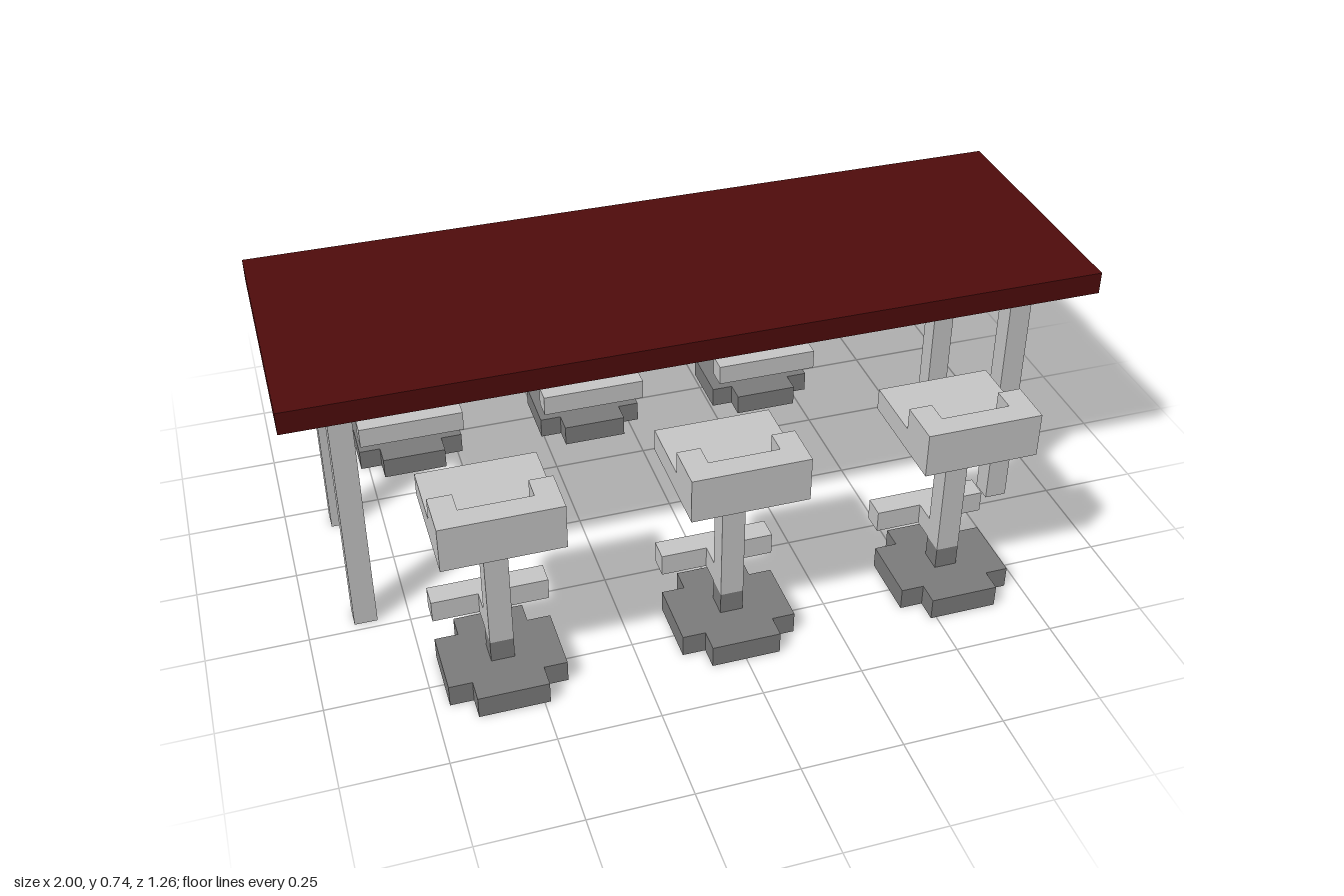
import * as THREE from 'three';

const U = 2 / 35; // one block

const flat = (name, color) => {
  const m = new THREE.MeshStandardMaterial({ color });
  m.name = name;
  return m;
};

export function createModel() {
  const red = flat('dark red', 0x500c0c);
  const light = flat('light grey', 0xc8c8c8);
  const dark = flat('dark grey', 0x7d7d7d);

  const add = (parent, name, geometry, material) => {
    const mesh = new THREE.Mesh(geometry, material);
    mesh.name = name;
    parent.add(mesh);
    return mesh;
  };

  // Box given by its lower and upper corners, in blocks
  const box = (parent, name, material, [x0, y0, z0], [x1, y1, z1]) => {
    const g = new THREE.BoxGeometry((x1 - x0) * U, (y1 - y0) * U, (z1 - z0) * U);
    g.translate((x0 + x1) / 2 * U, (y0 + y1) / 2 * U, (z0 + z1) / 2 * U);
    return add(parent, name, g, material);
  };

  // One-block-thick slab from an x/z outline, in blocks
  const slab = (parent, name, material, outline, top) => {
    const shape = new THREE.Shape(outline.map(([x, z]) => new THREE.Vector2(x * U, z * U)));
    const g = new THREE.ExtrudeGeometry(shape, { depth: U, bevelEnabled: false });
    g.rotateX(Math.PI / 2).translate(0, top * U, 0);
    return add(parent, name, g, material);
  };

  // Stool centred on its post, with its back towards +z
  const makeStool = () => {
    const stool = new THREE.Group();
    stool.name = 'stool';
    slab(stool, 'base', dark, [
      [-1.5, -2.5], [1.5, -2.5], [1.5, -1.5], [2.5, -1.5], [2.5, 1.5], [1.5, 1.5],
      [1.5, 2.5], [-1.5, 2.5], [-1.5, 1.5], [-2.5, 1.5], [-2.5, -1.5], [-1.5, -1.5],
    ], 1);
    box(stool, 'postFoot', dark, [-0.5, 1, -0.5], [0.5, 2, 0.5]);
    box(stool, 'post', light, [-0.5, 2, -0.5], [0.5, 8, 0.5]);
    box(stool, 'footrestStem', light, [-0.5, 2, -1.5], [0.5, 3, -0.5]);
    box(stool, 'footrestBar', light, [-2.5, 2, -2.5], [2.5, 3, -1.5]);
    box(stool, 'seat', light, [-2.5, 8, -2.5], [2.5, 9, 2.5]);
    slab(stool, 'backrest', light, [
      [-2.5, 0.5], [-1.5, 0.5], [-1.5, 1.5], [1.5, 1.5],
      [1.5, 0.5], [2.5, 0.5], [2.5, 2.5], [-2.5, 2.5],
    ], 10);
    return stool;
  };

  const model = new THREE.Group();
  model.name = 'tableWithStools';

  // Table
  const table = new THREE.Group();
  table.name = 'table';
  model.add(table);
  box(table, 'tableTop', red, [-17.5, 12, -6], [17.5, 13, 6]);
  for (const x of [-15, 15]) {
    for (const z of [-3.5, 3.5]) {
      box(table, 'tableLeg', light, [x - 0.5, 0, z - 0.5], [x + 0.5, 12, z + 0.5]);
    }
  }

  // Front row, then the back row turned round
  for (const x of [-10, 0, 10]) {
    const stool = makeStool();
    stool.position.set(x * U, 0, 8.5 * U);
    model.add(stool);
  }
  for (const x of [-11, -2, 7]) {
    const stool = makeStool();
    stool.position.set(x * U, 0, -8.5 * U);
    stool.rotation.y = Math.PI;
    model.add(stool);
  }
  return model;
}
